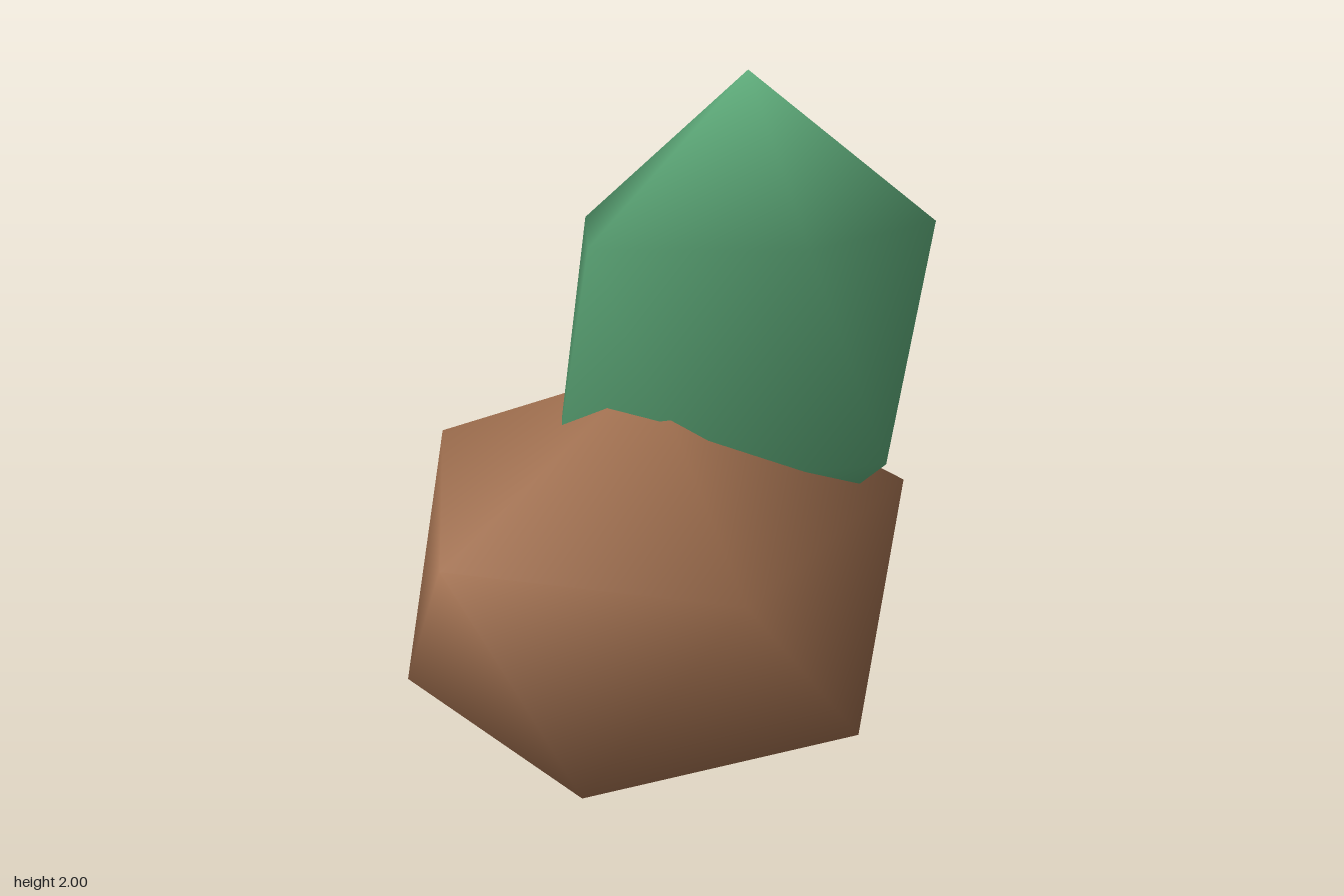
import * as THREE from 'three';

// Smooth-shaded unit icosahedron standing on a vertex: pole, two staggered rings of five, pole
function smoothIcosahedron() {
  const h = 1 / Math.sqrt(5), r = 2 * h;
  const positions = [0, 1, 0];
  for (const [y, turn] of [[h, 0], [-h, 0.5]]) {
    for (let i = 0; i < 5; i++) {
      const a = (i + turn) * Math.PI * 2 / 5;
      positions.push(r * Math.cos(a), y, r * Math.sin(a));
    }
  }
  positions.push(0, -1, 0);

  const index = [];
  for (let i = 0; i < 5; i++) {
    const j = (i + 1) % 5;
    const u = 1 + i, uNext = 1 + j, l = 6 + i, lNext = 6 + j;
    index.push(0, uNext, u, u, uNext, l, uNext, lNext, l, 11, l, lNext);
  }

  const geometry = new THREE.BufferGeometry();
  geometry.setAttribute('position', new THREE.Float32BufferAttribute(positions, 3));
  geometry.setIndex(index);
  geometry.computeVertexNormals();
  return geometry;
}

export function createModel() {
  const model = new THREE.Group();
  const brown = new THREE.MeshStandardMaterial({ color: 0xa87553 });
  brown.name = 'brown';
  const green = new THREE.MeshStandardMaterial({ color: 0x62b27f });
  green.name = 'green';
  const geometry = smoothIcosahedron();

  const addPart = (name, material, position, radii) => {
    const mesh = new THREE.Mesh(geometry, material);
    mesh.name = name;
    mesh.position.set(...position);
    mesh.scale.set(...radii);
    model.add(mesh);
  };

  // Rounded body, and a thin upright leaf sunk into its top
  addPart('body', brown, [-0.01, 0.635, 0], [0.68, 0.632, 0.525]);
  addPart('leaf', green, [0.197, 1.32, 0], [0.473, 0.68, 0.13]);
  return model;
}
